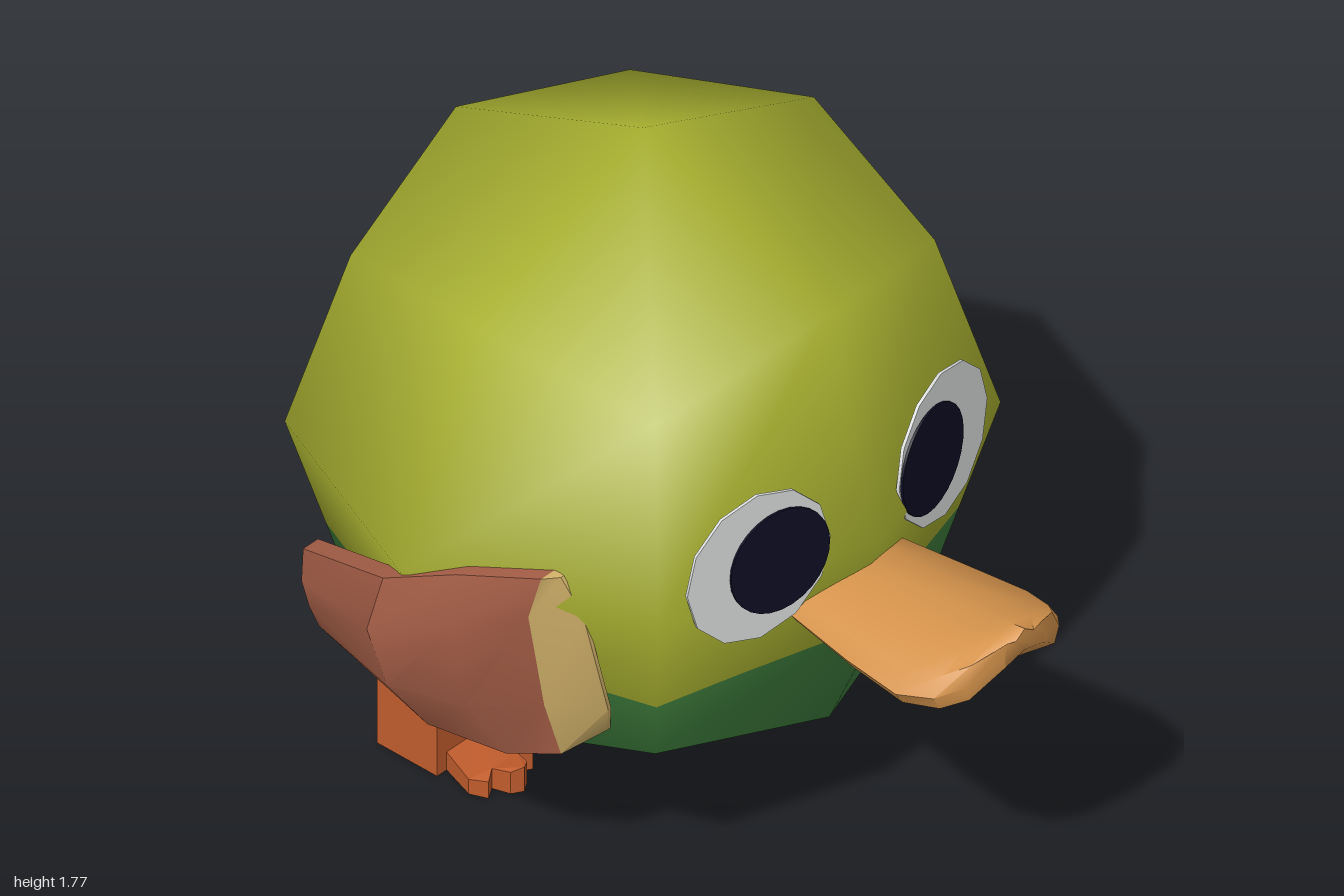
import * as THREE from 'three';
import { mergeVertices, toCreasedNormals } from 'three/addons/utils/BufferGeometryUtils.js';

const mat = (name, color, side = THREE.FrontSide) => {
  const m = new THREE.MeshStandardMaterial({ color, side });
  m.name = name;
  return m;
};

// Skin closed rings (counter-clockwise from +z, stations running towards -z) and cap both ends
function loft(rings, crease) {
  const n = rings[0].length, index = [], last = (rings.length - 1) * n;
  for (let i = 0; i < rings.length - 1; i++) {
    for (let j = 0; j < n; j++) {
      const a = i * n + j, b = i * n + (j + 1) % n;
      index.push(a, a + n, b + n, a, b + n, b);
    }
  }
  for (let j = 0; j < n / 2 - 1; j++) {
    const k = n - 1 - j;
    index.push(j, j + 1, k - 1, j, k - 1, k);
    index.push(last + j, last + k - 1, last + j + 1, last + j, last + k, last + k - 1);
  }
  const g = new THREE.BufferGeometry();
  g.setAttribute('position', new THREE.Float32BufferAttribute(rings.flat(2), 3));
  g.setIndex(index);
  return toCreasedNormals(g, crease);
}

// Keep the part of a smooth geometry above (sign 1) or below (sign -1) a height
function clipAtHeight(geometry, h, sign) {
  const src = geometry.toNonIndexed(), P = src.attributes.position, N = src.attributes.normal;
  const pos = [], nor = [];
  for (let t = 0; t < P.count; t += 3) {
    const tri = [0, 1, 2].map(k => ({
      p: new THREE.Vector3().fromBufferAttribute(P, t + k),
      n: new THREE.Vector3().fromBufferAttribute(N, t + k),
    }));
    const out = [];
    tri.forEach((a, k) => {
      const b = tri[(k + 1) % 3], da = sign * (a.p.y - h), db = sign * (b.p.y - h);
      if (da >= 0) out.push(a);
      if (da * db < 0) {
        const f = da / (da - db);
        out.push({ p: a.p.clone().lerp(b.p, f), n: a.n.clone().lerp(b.n, f).normalize() });
      }
    });
    for (let k = 1; k < out.length - 1; k++) {
      for (const v of [out[0], out[k], out[k + 1]]) {
        pos.push(...v.p.toArray());
        nor.push(...v.n.toArray());
      }
    }
  }
  const g = new THREE.BufferGeometry();
  g.setAttribute('position', new THREE.Float32BufferAttribute(pos, 3));
  g.setAttribute('normal', new THREE.Float32BufferAttribute(nor, 3));
  return g;
}

// Rounded cube with a slightly flattened face
function bodyGeometry() {
  let g = new THREE.BoxGeometry(2, 2, 2, 2, 2, 2);
  g.deleteAttribute('normal');
  g.deleteAttribute('uv');
  g = mergeVertices(g);
  const p = g.attributes.position, v = new THREE.Vector3();
  for (let i = 0; i < p.count; i++) {
    v.fromBufferAttribute(p, i).normalize().multiplyScalar(0.817);
    if (v.z > 0.8) v.z = 0.725;
    p.setXYZ(i, v.x, v.y + 0.955, v.z - 0.182);
  }
  g.computeVertexNormals();
  return g;
}

export function createModel() {
  const model = new THREE.Group();
  model.name = 'bird';
  const olive = mat('olive', 0xa8b030), green = mat('green', 0x41833f);
  const brown = mat('wing brown', 0xa86048), tan = mat('tan', 0xd2b26a);
  const orange = mat('beak orange', 0xd6944c), rust = mat('leg rust', 0xc05c2c);
  const white = mat('eye white', 0xdcdede), dark = mat('pupil dark', 0x0d0d24);
  const add = (name, geometry, material, parent = model) => {
    const m = new THREE.Mesh(geometry, material);
    m.name = name;
    parent.add(m);
    return m;
  };

  // Body in two colours
  const body = bodyGeometry();
  add('upperBody', clipAtHeight(body, 0.66, 1), olive);
  add('lowerBody', clipAtHeight(body, 0.66, -1), green);

  // Beak: arched sections [z, half width, top, underside middle, side top, side bottom]
  const beakStations = [
    [1.0, 0.07, 0.945, 0.885, 0.925, 0.87],
    [0.96, 0.16, 0.94, 0.84, 0.885, 0.80],
    [0.91, 0.21, 0.925, 0.815, 0.855, 0.775],
    [0.82, 0.24, 0.91, 0.805, 0.835, 0.762],
    [0.65, 0.22, 0.89, 0.805, 0.83, 0.765],
    [0.4, 0.18, 0.88, 0.81, 0.83, 0.78],
  ];
  add('beak', loft(beakStations.map(([z, w, top, under, st, sb]) => [
    [-w * 0.9, sb, z], [0, under, z], [w * 0.9, sb, z], [w, (st + sb) / 2, z],
    [w * 0.85, st + 0.01, z], [w * 0.42, top - 0.02, z], [0, top, z],
    [-w * 0.42, top - 0.02, z], [-w * 0.85, st + 0.01, z], [-w, (st + sb) / 2, z],
  ]), 0.75), orange);

  // Wing outer skin, bottom to top at each station from front to back
  const wingStations = [
    [[0.525, 0.53, 0.19], [0.555, 0.62, 0.22], [0.64, 0.94, 0.22], [0.66, 1.035, 0.17]],
    [[0.605, 0.47, 0.12], [0.64, 0.62, 0.1], [0.71, 0.92, 0.115], [0.7, 1.04, 0.145]],
    [[0.65, 0.43, -0.01], [0.765, 0.62, -0.03], [0.805, 0.88, -0.03], [0.785, 1.005, -0.04]],
    [[0.685, 0.425, -0.22], [0.81, 0.6, -0.23], [0.857, 0.78, -0.25], [0.835, 0.93, -0.22]],
    [[0.62, 0.465, -0.615], [0.66, 0.55, -0.61], [0.69, 0.64, -0.605], [0.69, 0.735, -0.6]],
  ];
  const legShape = new THREE.Shape();
  legShape.moveTo(0.445, 0);
  legShape.lineTo(0.63, 0);
  legShape.lineTo(0.63, 0.455);
  legShape.lineTo(0.445, 0.4);

  // Foot seen from above, y pointing forward, with three toes
  const footShape = new THREE.Shape([
    [-0.06, 0], [0.06, 0], [0.093, 0.1], [0.075, 0.145], [0.042, 0.125], [0.028, 0.17],
    [0, 0.187], [-0.028, 0.17], [-0.042, 0.125], [-0.075, 0.145], [-0.093, 0.1],
  ].map(([x, y]) => new THREE.Vector2(x, y)));

  for (const s of [1, -1]) {
    const side = s > 0 ? 'left' : 'right';

    // Wing with a pale leading edge
    const rings = wingStations.map((outer, i) => {
      const t = i === 0 ? 0.01 : 0.05;
      const ring = [...outer, ...outer.map(([x, y, z]) => [x - t, y, z]).reverse()];
      return s > 0 ? ring : ring.map(([x, y, z]) => [-x, y, z]).reverse();
    });
    const wing = new THREE.Group();
    wing.name = side + 'Wing';
    model.add(wing);
    add('wingEdge', loft(rings.slice(0, 2), 0.6), tan, wing);
    add('wingSkin', loft(rings.slice(1), 0.6), brown, wing);

    // Eye: two thin discs lying against the face
    const eye = new THREE.Group();
    eye.name = side + 'Eye';
    eye.position.set(s * 0.31, 1.02, 0.459);
    eye.rotation.set(-0.03, s * 0.215, 0, 'YXZ');
    model.add(eye);
    const disc = (r, n) => new THREE.CylinderGeometry(r, r, 0.008, n).rotateX(Math.PI / 2);
    add('eyeWhite', disc(0.2, 12), white, eye);
    add('pupil', disc(0.138, 28), dark, eye).position.set(-s * 0.056, -0.004, 0.006);

    // Leg and foot
    const leg = new THREE.ExtrudeGeometry(legShape, { depth: 0.186, bevelEnabled: false });
    leg.rotateY(Math.PI / 2).translate(s * 0.314 - 0.093, 0, 0);
    add(side + 'Leg', leg, rust);
    const foot = new THREE.ExtrudeGeometry(footShape, { depth: 0.065, bevelEnabled: false });
    // Lower the outer toes
    const fp = foot.attributes.position;
    for (let i = 0; i < fp.count; i++) {
      if (fp.getZ(i) > 0.01) fp.setZ(i, 0.07 - Math.abs(fp.getX(i)) * 0.3);
    }
    foot.computeVertexNormals();
    foot.rotateX(-Math.PI / 2).rotateY(Math.PI).translate(s * 0.314, 0, -0.447);
    add(side + 'Foot', foot, rust);
  }
  return model;
}
